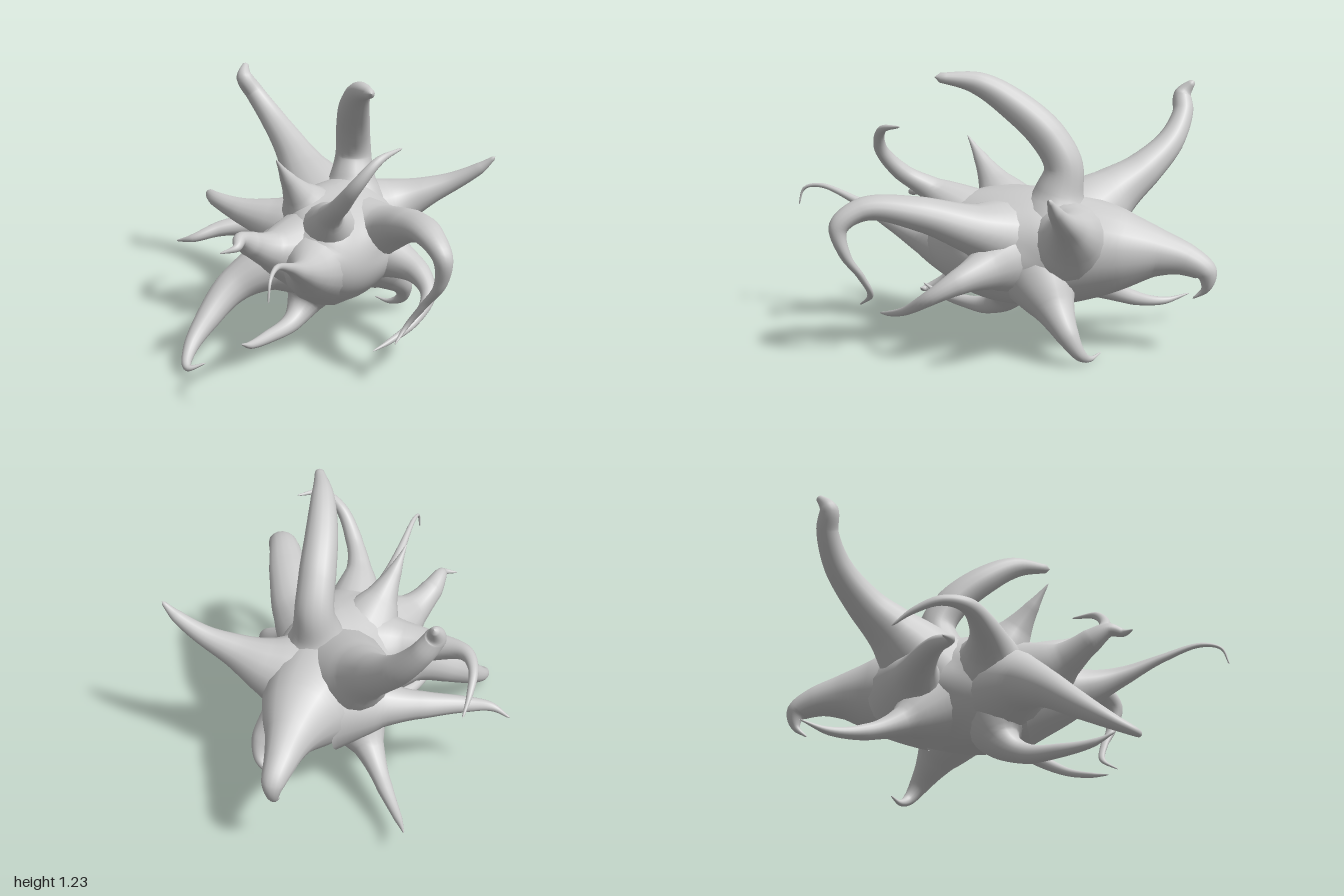
import * as THREE from 'three';

const material = new THREE.MeshStandardMaterial({ color: 0xcccccc, side: THREE.DoubleSide });
const SIDES = 16;

// Each arm: points along its centre line as [x, y, z, radius]; optional axis along which it is flattened
const ARMS = {
  topHorn: { path: [[.09, .52, -.28, .2], [.09, .69, -.31, .115], [.09, .82, -.33, .085], [.1, .95, -.26, .08], [.13, 1.08, -.12, .07], [.18, 1.175, .03, .05], [.26, 1.205, .2, .018]] },
  backRightHorn: { path: [[-.03, .5, -.32, .22], [-.18, .66, -.49, .125], [-.28, .76, -.61, .085], [-.4, .88, -.71, .062], [-.5, 1, -.745, .048], [-.55, 1.08, -.735, .042], [-.555, 1.145, -.785, .012]] },
  tail: { path: [[.05, .45, -.35, .25], [.06, .46, -.6, .175], [.05, .455, -.75, .105], [.04, .43, -.87, .07], [.04, .38, -.955, .048], [.04, .31, -.955, .02], [.04, .26, -.9, .004]] },
  leftHorn: { path: [[.1, .47, -.35, .22], [.28, .55, -.42, .13], [.42, .61, -.44, .075], [.56, .67, -.455, .045], [.68, .74, -.455, .028], [.75, .8, -.45, .008]] },
  frontFeeler: { path: [[.03, .42, .08, .22], [.02, .45, .34, .1], [.02, .51, .52, .045], [.015, .59, .7, .02], [.01, .65, .88, .011], [.01, .63, .97, .007], [.01, .55, 1, .003]] },
  upperFrontFeeler: { path: [[.06, .55, .1, .15], [.1, .68, .28, .06], [.17, .77, .4, .04], [.25, .88, .46, .029], [.33, .975, .42, .019], [.41, 1.005, .3, .004]] },
  topSpike: { path: [[-.04, .56, -.05, .17], [-.09, .7, .05, .075], [-.125, .8, .125, .033], [-.155, .9, .2, .003]] },
  rightHookedArm: { path: [[-.05, .48, -.08, .22], [-.24, .54, -.06, .11], [-.4, .575, -.075, .06], [-.53, .605, -.13, .035], [-.59, .6, -.23, .022], [-.605, .55, -.34, .014], [-.6, .485, -.43, .004]] },
  rightArm: { path: [[-.05, .43, -.4, .22], [-.24, .43, -.37, .1], [-.4, .43, -.32, .06], [-.55, .42, -.25, .038], [-.67, .385, -.18, .02], [-.76, .36, -.2, .004]] },
  frontRightHook: { path: [[-.05, .46, .1, .2], [-.17, .51, .27, .085], [-.23, .57, .38, .055], [-.25, .61, .46, .032], [-.25, .595, .52, .018], [-.31, .58, .56, .003]] },
  lowerRightArm: { path: [[-.06, .42, -.02, .22], [-.24, .37, .1, .12], [-.37, .29, .19, .08], [-.45, .18, .32, .055], [-.49, .09, .45, .032], [-.47, .045, .55, .016], [-.39, .07, .54, .003]] },
  lowerBackFeeler: { path: [[-.04, .38, -.3, .2], [-.19, .23, -.43, .07], [-.31, .14, -.57, .035], [-.41, .11, -.7, .018], [-.47, .14, -.81, .003]] },
  bottomFeeler: { path: [[-.02, .35, -.05, .2], [-.08, .17, -.01, .085], [-.12, .1, .09, .045], [-.19, .085, .24, .03], [-.235, .1, .38, .017], [-.25, .14, .47, .003]] },
  bottomHook: { path: [[.14, .38, -.22, .2], [.26, .23, -.34, .095], [.325, .13, -.42, .05], [.315, .05, -.47, .028], [.25, .012, -.5, .013], [.17, .02, -.53, .003]] },
  leftArchArm: { path: [[.1, .48, -.12, .23], [.3, .56, .02, .13], [.43, .64, .21, .095], [.54, .67, .41, .065], [.61, .6, .5, .042], [.6, .48, .48, .028], [.53, .37, .44, .02], [.46, .27, .43, .014], [.42, .21, .5, .004]], flat: [-.15, .96, -.25] },
  lowerLeftArm: { path: [[.12, .44, -.15, .22], [.33, .4, -.06, .1], [.46, .36, .03, .055], [.515, .3, .13, .034], [.47, .22, .26, .02], [.38, .17, .38, .012], [.32, .15, .45, .003]] }
};

// Sweeps rings of varying radius along a smooth path, turning the frame as little as possible
function armGeometry({ path, flat }) {
  const curve = new THREE.CatmullRomCurve3(path.map(p => new THREE.Vector3(p[0], p[1], p[2])), false, 'centripetal');
  const spans = path.length - 1, rings = spans * 8;
  const axis = flat && new THREE.Vector3(...flat).normalize();
  const positions = [], index = [];
  const normal = new THREE.Vector3(.31, .2, .93);
  for (let i = 0; i <= rings; i++) {
    const t = i / rings;
    const k = Math.min(Math.floor(t * spans), spans - 1), f = t * spans - k;
    const at = n => path[Math.max(0, Math.min(spans, n))][3];
    // Smooth radius between the listed points
    const r = i === rings ? 0 : Math.max(.002, THREE.MathUtils.lerp(
      at(k), at(k + 1), f) + f * (1 - f) * (at(k) + at(k + 1) - at(k - 1) - at(k + 2)) / 4);
    const centre = curve.getPoint(t), tangent = curve.getTangent(t);
    normal.addScaledVector(tangent, -normal.dot(tangent)).normalize();
    const binormal = tangent.clone().cross(normal);
    for (let j = 0; j < SIDES; j++) {
      const a = j / SIDES * Math.PI * 2;
      const offset = normal.clone().multiplyScalar(Math.cos(a) * r).addScaledVector(binormal, Math.sin(a) * r);
      if (axis) offset.addScaledVector(axis, -.45 * t ** .5 * offset.dot(axis));
      positions.push(...offset.add(centre).toArray());
      if (i < rings) {
        const p = i * SIDES + j, q = i * SIDES + (j + 1) % SIDES;
        index.push(p, q, p + SIDES, q, q + SIDES, p + SIDES);
      }
    }
  }
  const geometry = new THREE.BufferGeometry();
  geometry.setAttribute('position', new THREE.Float32BufferAttribute(positions, 3));
  geometry.setIndex(index);
  geometry.computeVertexNormals();
  return geometry;
}

// Rounded body, swelling where each arm leaves it
function bodyGeometry() {
  const geometry = new THREE.SphereGeometry(1, 64, 48);
  const centre = new THREE.Vector3(.05, .445, -.13), size = new THREE.Vector3(.275, .265, .44);
  const roots = Object.values(ARMS).map(({ path }) =>
    new THREE.Vector3(path[1][0], path[1][1], path[1][2]).sub(centre).divide(size).normalize());
  const pos = geometry.attributes.position, v = new THREE.Vector3();
  for (let i = 0; i < pos.count; i++) {
    v.fromBufferAttribute(pos, i);
    const swell = Math.max(...roots.map(d => Math.exp(-((v.angleTo(d) / .33) ** 2))));
    v.multiplyScalar(1 + .07 * swell).multiply(size).add(centre);
    pos.setXYZ(i, v.x, v.y, v.z);
  }
  geometry.computeVertexNormals();
  return geometry;
}

export function createModel() {
  const group = new THREE.Group();
  group.name = 'spikyCreature';
  const add = (name, geometry) => {
    const mesh = new THREE.Mesh(geometry, material);
    mesh.name = name;
    group.add(mesh);
  };
  add('body', bodyGeometry());
  for (const [name, arm] of Object.entries(ARMS)) add(name, armGeometry(arm));
  return group;
}
